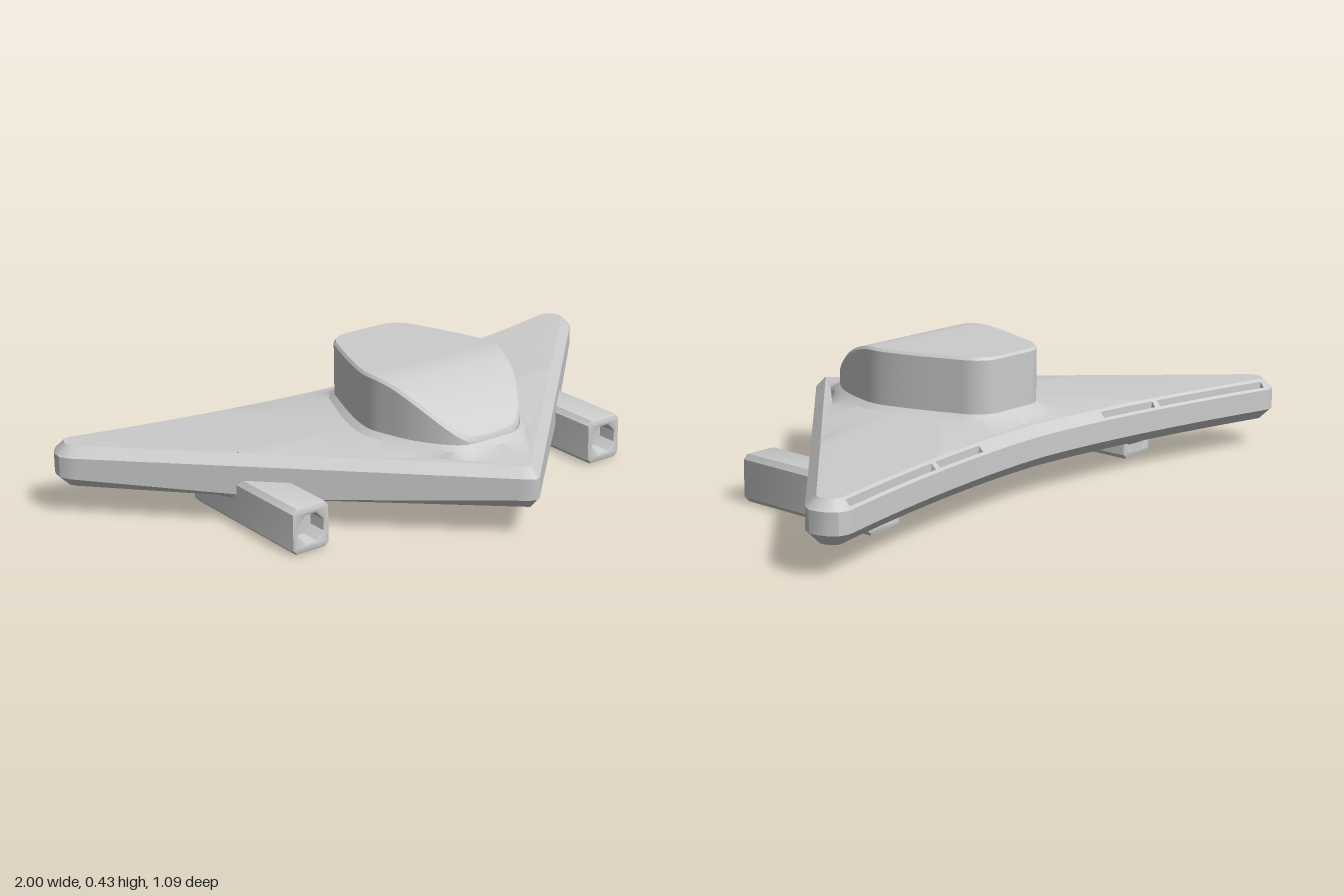
import * as THREE from 'three';
import { toCreasedNormals } from 'three/addons/utils/BufferGeometryUtils.js';

const CZ = 0.03; // z of the axis used for polar rings

// Skin between successive rings of [x, y, z] points
function loft(rings, closed = true) {
  const pos = [];
  const tri = (a, b, c) => {
    const u = new THREE.Vector3(...b).sub(new THREE.Vector3(...a));
    const v = new THREE.Vector3(...c).sub(new THREE.Vector3(...a));
    if (u.cross(v).length() > 1e-9) pos.push(...a, ...b, ...c);
  };
  for (let r = 0; r + 1 < rings.length; r++) {
    const A = rings[r], B = rings[r + 1], n = A.length;
    for (let i = 0; i < (closed ? n : n - 1); i++) {
      const j = (i + 1) % n;
      tri(A[i], A[j], B[j]);
      tri(A[i], B[j], B[i]);
    }
  }
  const g = new THREE.BufferGeometry();
  g.setAttribute('position', new THREE.Float32BufferAttribute(pos, 3));
  return toCreasedNormals(g, 0.45);
}

// Move a closed plan outline of [x, z] points outwards by d(i)
function offset(pts, d) {
  const n = pts.length;
  const normal = (a, b) => {
    const ex = b[0] - a[0], ez = b[1] - a[1], l = Math.hypot(ex, ez);
    return [-ez / l, ex / l];
  };
  return pts.map((p, i) => {
    const a = normal(pts[(i + n - 1) % n], p), b = normal(p, pts[(i + 1) % n]);
    const k = d(i) / Math.max(0.4, 1 + a[0] * b[0] + a[1] * b[1]);
    return [p[0] + (a[0] + b[0]) * k, p[1] + (a[1] + b[1]) * k];
  });
}

// Mirror a half outline that starts and ends on x = 0
const mirrored = (half) => [...half, ...half.slice(1, -1).reverse().map(([x, z]) => [-x, z])];

// Distance from the axis to a closed outline in a given plan direction
function reach(pts, dx, dz) {
  let best = 0;
  pts.forEach((a, i) => {
    const b = pts[(i + 1) % pts.length];
    const ex = b[0] - a[0], ez = b[1] - a[1], det = ex * dz - ez * dx;
    if (Math.abs(det) < 1e-12) return;
    const ax = a[0], az = a[1] - CZ;
    const t = (ex * az - ez * ax) / det, s = (dx * az - dz * ax) / det;
    if (t > 0 && s >= -1e-6 && s <= 1 + 1e-6) best = Math.max(best, t);
  });
  return best;
}

// Plan outline of the canopy
function canopyOutline() {
  const key = [[0, 0.345], [0.09, 0.338], [0.14, 0.3], [0.195, 0.215], [0.225, 0.13], [0.24, 0.06],
    [0.228, -0.02], [0.165, -0.2], [0.14, -0.255], [0.095, -0.29], [0, -0.295]];
  const curve = new THREE.CatmullRomCurve3(key.map(([x, z]) => new THREE.Vector3(x, 0, z)), false, 'centripetal');
  return mirrored(curve.getPoints(50).map((p) => [p.x, p.z]));
}

// Plan outline of the delta wing
function hullOutline() {
  const half = [[0, 0.545], [0.015, 0.538]];
  for (let i = 1; i <= 40; i++) half.push([0.015 + 0.97 * i / 40, 0.538 - 0.968 * i / 40]);
  half.push([1, -0.46], [0.996, -0.49], [0.985, -0.515], [0.965, -0.537], [0.94, -0.545]);
  const xs = [0.92, 0.918, 0.502, 0.5, 0.48, 0.478, 0.272, 0.27];
  for (let i = 0; i < 30; i++) xs.push(0.905 * i / 30);
  xs.sort((a, b) => b - a);
  xs.forEach((x) => half.push([x, -0.405 - 0.14 * (x / 0.93) ** 1.6]));
  return mirrored(half);
}

function hullGeometry(canopy) {
  const out = hullOutline();
  const at = (pts, y) => pts.map(([x, z], i) => [x, typeof y === 'function' ? y(i) : y, z]);
  const leading = ([x, z]) => z > 0.5 - Math.abs(x) && z > -0.44;
  // The lower chamfer fades away halfway along each leading edge
  const lower = out.map((p) => (leading(p) ? Math.abs(1 - 2 * Math.abs(p[0])) : 1));
  const inSlot = ([x, z]) => {
    const a = Math.abs(x);
    return z < -0.4 && ((a > 0.271 && a < 0.479) || (a > 0.501 && a < 0.919));
  };
  const chamfer = (f, depth) => at(offset(out, () => -0.03 * f),
    (i) => 0.19 + 0.03 * f - (inSlot(out[i]) ? depth : 0));
  const polar = (radius, y) => out.map(([x, z]) => {
    const l = Math.hypot(x, z - CZ), dx = x / l, dz = (z - CZ) / l;
    const r = radius(dx, dz, l);
    return [dx * r, y, CZ + dz * r];
  });
  const octagon = (r) => (dx, dz) => {
    const a = Math.atan2(dz, dx) + Math.PI * 2, s = Math.PI / 4;
    return r * Math.cos(s / 2) / Math.cos((a % s) - s / 2);
  };
  const body = (extra) => (dx, dz) => reach(canopy, dx, dz) + extra;
  return loft([
    polar(() => 0, 0.13), polar(octagon(0.225), 0.13), polar(octagon(0.25), 0.09), // belly recess
    at(offset(out, (i) => -0.005 - 0.03 * lower[i]), 0.09),
    at(out, (i) => 0.092 + 0.033 * lower[i]),
    chamfer(0, 0), chamfer(0.24, 0), chamfer(0.26, 0.025), chamfer(0.74, 0.025), chamfer(0.76, 0), chamfer(1, 0),
    polar((dx, dz, l) => Math.min(l - 0.055, 0.62), 0.221),
    polar(body(0.02), 0.24), polar(body(0), 0.255), polar(() => 0, 0.255),
  ]);
}

function canopyGeometries(outline) {
  const height = (z) => 0.425 - 0.16 * (Math.max(0, z - 0.06) / 0.285) ** 1.9;
  const inner = offset(outline, () => -0.007);
  const rim = inner.map(([x, z]) => [x, height(z), z]);
  const wall = [
    outline.map(([x, z]) => [x, 0.24, z]),
    outline.map(([x, z]) => [x, height(z) - 0.008, z]),
    rim,
  ];
  // Roof strips join each rim point to its mirror image
  const n = rim.length, m = n / 2;
  const left = rim.slice(0, m + 1), right = left.map((_, i) => rim[(n - i) % n]);
  return [loft(wall), loft([left, right], false)];
}

// Cannon housing with an octagonal bore, and its fairing under the wing
function makeCannon(mat) {
  const g = new THREE.Group();
  const w = 0.065, h = 0.0725, r = 0.015;
  const s = new THREE.Shape();
  s.moveTo(-w + r, -h);
  s.lineTo(w - r, -h); s.lineTo(w, -h + r);
  s.lineTo(w, h - r); s.lineTo(w - r, h);
  s.lineTo(-w + r, h); s.lineTo(-w, h - r);
  s.lineTo(-w, -h + r); s.closePath();
  const bore = [];
  for (let i = 0; i < 8; i++) {
    const a = -(i + 0.5) * Math.PI / 4;
    bore.push(new THREE.Vector2(Math.cos(a) * 0.046, Math.sin(a) * 0.046));
  }
  s.holes.push(new THREE.Path([...bore, bore[0].clone()]));
  const b = 0.009;
  const housing = new THREE.Mesh(toCreasedNormals(new THREE.ExtrudeGeometry(s, {
    depth: 0.52 - 2 * b, bevelThickness: b, bevelSize: b, bevelOffset: -b, bevelSegments: 2,
  }), 0.5), mat);
  housing.name = 'cannonHousing';
  housing.position.set(0, h, -0.31 + b);

  const plug = new THREE.Mesh(new THREE.BoxGeometry(0.104, 0.104, 0.455), mat);
  plug.name = 'boreFloor';
  plug.position.set(0, h, -0.082);

  const plan = mirrored([[0, -0.08], [0.065, -0.08], [0.065, -0.18], [0.065, -0.27], [0.04, -0.31], [0, -0.312]]);
  const low = plan.map(([, z]) => Math.max(0.045, 0.087 + (z + 0.08) * 0.22));
  const wide = offset(plan, (i) => 0.093 - low[i]);
  const fairing = new THREE.Mesh(loft([
    plan.map(([, z], i) => [0, low[i], z]),
    plan.map(([x, z], i) => [x, low[i], z]),
    wide.map(([x, z]) => [x, 0.093, z]),
  ]), mat);
  fairing.name = 'cannonFairing';
  g.add(housing, plug, fairing);
  return g;
}

export function createModel() {
  const model = new THREE.Group();
  model.name = 'deltaWingCraft';
  const mat = new THREE.MeshStandardMaterial({ color: 0xcccccc });
  const outline = canopyOutline();

  const hull = new THREE.Mesh(hullGeometry(outline), mat);
  hull.name = 'hull';
  model.add(hull);

  const canopy = new THREE.Group();
  canopy.name = 'canopy';
  canopyGeometries(outline).forEach((geo, i) => {
    const mesh = new THREE.Mesh(geo, mat);
    mesh.name = ['canopyWall', 'canopyRoof'][i];
    canopy.add(mesh);
  });
  model.add(canopy);

  for (const side of [1, -1]) {
    const cannon = makeCannon(mat);
    cannon.name = side > 0 ? 'leftCannon' : 'rightCannon';
    cannon.position.x = side * 0.565;
    model.add(cannon);
  }
  return model;
}
